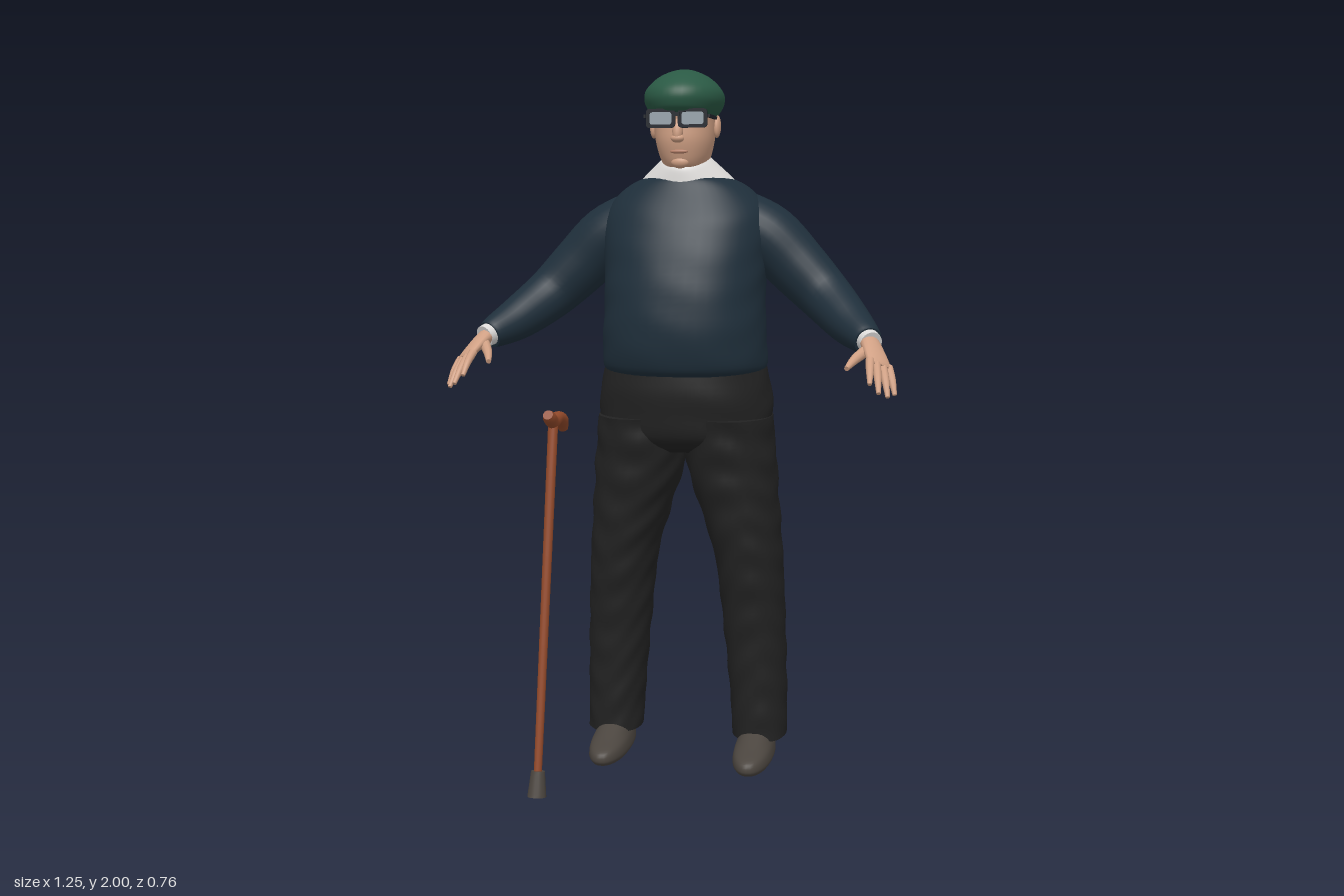
import * as THREE from 'three';

const mat = (name, color) => {
  const m = new THREE.MeshStandardMaterial({ color });
  m.name = name;
  return m;
};

// Smooth interpolation between rows of numbers
function resample(rows, k) {
  const out = [];
  const at = i => rows[Math.min(Math.max(i, 0), rows.length - 1)];
  for (let i = 0; i < rows.length - 1; i++) {
    for (let s = 0; s < k; s++) {
      const t = s / k;
      out.push(at(i).map((b, c) => {
        const a = at(i - 1)[c], d = at(i + 1)[c], e = at(i + 2)[c];
        return b + 0.5 * t * (d - a + t * (2 * a - 5 * b + 4 * d - e + t * (3 * (b - d) + e - a)));
      }));
    }
  }
  out.push(rows[rows.length - 1]);
  return out;
}

// Skin a list of closed rings and close both ends
function skin(rings) {
  const n = rings[0].length, pos = [], idx = [];
  rings.forEach(r => r.forEach(p => pos.push(p.x, p.y, p.z)));
  for (let i = 0; i < rings.length - 1; i++) {
    for (let j = 0; j < n; j++) {
      const a = i * n + j, b = i * n + (j + 1) % n;
      idx.push(a, a + n, b, b, a + n, b + n);
    }
  }
  [rings[0], rings[rings.length - 1]].forEach((r, end) => {
    const base = pos.length / 3, mid = new THREE.Vector3();
    r.forEach(p => { pos.push(p.x, p.y, p.z); mid.addScaledVector(p, 1 / n); });
    pos.push(mid.x, mid.y, mid.z);
    for (let j = 0; j < n; j++) {
      const a = base + j, b = base + (j + 1) % n;
      idx.push(...(end ? [a, base + n, b] : [a, b, base + n]));
    }
  });
  const g = new THREE.BufferGeometry();
  g.setAttribute('position', new THREE.Float32BufferAttribute(pos, 3));
  g.setIndex(idx);
  g.computeVertexNormals();
  return g;
}

// Upright form from rows [y, centreX, halfWidth, zFront, zBack]; fold adds soft cloth ripples
function body(rows, { p = 2.2, n = 36, k = 5, fold = 0 } = {}) {
  const pw = v => Math.sign(v) * Math.abs(v) ** (2 / p);
  return skin(resample(rows, k).map(([y, cx, rx, zf, zb]) =>
    Array.from({ length: n }, (_, j) => {
      const t = j / n * Math.PI * 2;
      const f = 1 + fold * Math.sin(y * 55 + 3 * Math.sin(t * 2 + cx * 9)) * Math.sin(t * 3 + y * 7);
      return new THREE.Vector3(cx + rx * f * pw(Math.cos(t)), y, (zf + zb) / 2 + (zf - zb) / 2 * f * pw(Math.sin(t)));
    })));
}

// Limb along a path from rows [x, y, z, radiusAlongRef, radiusAcross]
function limb(rows, ref, n = 16, k = 5) {
  const r = resample(rows, k), V = q => new THREE.Vector3(q[0], q[1], q[2]);
  return skin(r.map((q, i) => {
    const T = V(r[Math.min(i + 1, r.length - 1)]).sub(V(r[Math.max(i - 1, 0)])).normalize();
    const u = ref.clone().addScaledVector(T, -ref.dot(T)).normalize();
    const v = u.clone().cross(T);
    return Array.from({ length: n }, (_, j) => {
      const t = j / n * Math.PI * 2;
      return V(q).addScaledVector(u, q[3] * Math.cos(t)).addScaledVector(v, q[4] * Math.sin(t));
    });
  }));
}

function roundRect(S, w, h, r) {
  const s = new S();
  s.moveTo(-w + r, -h);
  s.lineTo(w - r, -h); s.quadraticCurveTo(w, -h, w, -h + r);
  s.lineTo(w, h - r); s.quadraticCurveTo(w, h, w - r, h);
  s.lineTo(-w + r, h); s.quadraticCurveTo(-w, h, -w, h - r);
  s.lineTo(-w, -h + r); s.quadraticCurveTo(-w, -h, -w + r, -h);
  return s;
}

export function createModel() {
  const root = new THREE.Group();
  root.name = 'manWithCane';
  const M = {
    skin: mat('skin', 0xd0a084), lips: mat('lips', 0xb57f68), beret: mat('beretGreen', 0x2a5944),
    sweater: mat('sweaterNavy', 0x1f2f3b), trousers: mat('trousersBlack', 0x222222),
    shirt: mat('shirtWhite', 0xdcdad8), shoe: mat('shoeGrey', 0x4b453f),
    wood: mat('caneWood', 0x92492a), frame: mat('frameDark', 0x20242b), lens: mat('lensGrey', 0x98a4ac),
  };
  M.lens.side = THREE.DoubleSide;
  const add = (name, geo, m, x = 0, y = 0, z = 0) => {
    const o = new THREE.Mesh(geo, m);
    o.name = name;
    o.position.set(x, y, z);
    root.add(o);
    return o;
  };
  const X = new THREE.Vector3(1, 0, 0), Z = new THREE.Vector3(0, 0, 1);
  const ball = (sx, sy, sz) => new THREE.SphereGeometry(1, 20, 14).scale(sx, sy, sz);

  // Torso and hips
  add('sweater', body([
    [1.145, 0, 0.222, 0.01, -0.36], [1.17, 0, 0.237, 0.03, -0.368], [1.25, 0, 0.235, 0.047, -0.37],
    [1.35, 0, 0.231, 0.042, -0.37], [1.45, 0, 0.234, 0.02, -0.375], [1.55, 0, 0.242, -0.015, -0.38],
    [1.61, 0, 0.232, -0.045, -0.372], [1.66, 0, 0.19, -0.072, -0.345], [1.69, 0, 0.143, -0.088, -0.318],
    [1.70, 0, 0.1, -0.1, -0.29]], { n: 48, fold: 0.006 }), M.sweater);
  add('trouserSeat', body([
    [0.92, 0, 0.17, -0.07, -0.31], [0.96, 0, 0.235, -0.015, -0.345], [1.03, 0, 0.253, 0.002, -0.368],
    [1.1, 0, 0.248, 0.01, -0.374], [1.18, 0, 0.23, 0.005, -0.36]], { n: 48, fold: 0.006 }), M.trousers);

  // Head, nose and mouth
  add('head', body([
    [1.62, 0, 0.062, -0.115, -0.262], [1.70, 0, 0.062, -0.115, -0.264], [1.715, 0, 0.06, -0.105, -0.263],
    [1.732, 0, 0.061, -0.083, -0.263], [1.76, 0, 0.072, -0.071, -0.262], [1.80, 0, 0.082, -0.062, -0.264],
    [1.85, 0, 0.088, -0.062, -0.268], [1.90, 0, 0.091, -0.055, -0.268], [1.94, 0, 0.08, -0.075, -0.25]]), M.skin);
  add('nose', ball(0.015, 0.034, 0.018), M.skin, 0, 1.825, -0.054).rotation.x = -0.25;
  add('noseTip', ball(0.019, 0.012, 0.016), M.skin, 0, 1.803, -0.05);
  add('mouth', ball(0.026, 0.006, 0.006), M.lips, 0, 1.768, -0.071);
  add('chin', ball(0.026, 0.017, 0.016), M.skin, 0, 1.739, -0.088);

  // Beret, tipped slightly back
  add('beret', body([
    [-0.018, 0, 0.088, 0.118, -0.112], [-0.005, 0, 0.099, 0.132, -0.128], [0.022, 0, 0.112, 0.14, -0.14],
    [0.052, 0, 0.108, 0.128, -0.13], [0.085, 0, 0.078, 0.088, -0.092], [0.106, 0, 0.038, 0.04, -0.045],
    [0.113, 0, 0.005, 0.005, -0.005]], { p: 2 }), M.beret, 0, 1.885, -0.15).rotation.x = -0.09;

  // Shirt collar, lower at the front
  add('collar', body([
    [-0.03, 0, 0.16, 0.12, -0.12], [-0.005, 0, 0.142, 0.11, -0.11], [0.025, 0, 0.112, 0.098, -0.098],
    [0.055, 0, 0.08, 0.086, -0.088], [0.065, 0, 0.068, 0.078, -0.082]], { p: 2 }),
    M.shirt, 0, 1.687, -0.185).rotation.x = 0.3;

  // Glasses bridge
  add('glassesBridge', new THREE.BoxGeometry(0.02, 0.01, 0.008), M.frame, 0, 1.868, -0.036);

  for (const s of [1, -1]) {
    const side = s > 0 ? 'left' : 'right';
    const mir = rows => rows.map(([x, ...r]) => [x * s, ...r]);

    // Glasses and ears
    const rim = roundRect(THREE.Shape, 0.041, 0.026, 0.012);
    rim.holes.push(roundRect(THREE.Path, 0.031, 0.017, 0.008));
    add(side + 'Rim', new THREE.ExtrudeGeometry(rim, { depth: 0.008, bevelEnabled: false }), M.frame, s * 0.045, 1.857, -0.043);
    add(side + 'Lens', new THREE.ShapeGeometry(roundRect(THREE.Shape, 0.032, 0.018, 0.008)), M.lens, s * 0.045, 1.857, -0.038);
    add(side + 'Temple', new THREE.BoxGeometry(0.006, 0.009, 0.135), M.frame, s * 0.09, 1.863, -0.105);
    add(side + 'Ear', ball(0.011, 0.032, 0.02), M.skin, s * 0.091, 1.84, -0.165).rotation.x = -0.15;

    // Sleeve and shirt cuff
    add(side + 'Sleeve', limb(mir([
      [0.15, 1.575, -0.215, 0.095, 0.09], [0.235, 1.53, -0.212, 0.098, 0.092], [0.32, 1.447, -0.2, 0.082, 0.086],
      [0.40, 1.368, -0.177, 0.073, 0.076], [0.475, 1.3, -0.095, 0.062, 0.063], [0.525, 1.264, -0.025, 0.046, 0.047],
      [0.538, 1.254, -0.004, 0.039, 0.039]]), Z, 24), M.sweater);
    add(side + 'Cuff', limb(mir([[0.528, 1.263, -0.02, 0.035, 0.035], [0.548, 1.25, 0.012, 0.033, 0.031]]), Z, 20), M.shirt);

    // Hand with four fingers and a thumb
    const across = new THREE.Vector3(0.05 * s, -0.02, -0.035).normalize();
    add(side + 'Palm', limb(mir([
      [0.538, 1.256, -0.005, 0.027, 0.024], [0.556, 1.234, 0.04, 0.034, 0.018], [0.574, 1.204, 0.085, 0.037, 0.013],
      [0.579, 1.195, 0.097, 0.032, 0.008]]), across), M.skin);
    [[0.558, 1.155, 0.172], [0.582, 1.132, 0.177], [0.604, 1.12, 0.152], [0.62, 1.122, 0.115]].forEach((tip, i) => {
      const f = i / 3, b = [0.552 + 0.047 * f, 1.213 - 0.022 * f, 0.102 - 0.034 * f];
      const m = b.map((v, c) => v * 0.45 + tip[c] * 0.55 + (c === 1 ? 0.007 : 0));
      add(side + 'Finger' + (i + 1), limb(mir([[...b, 0.012, 0.012], [...m, 0.0105, 0.01], [...tip, 0.006, 0.006]]), across, 10, 4), M.skin);
    });
    add(side + 'Thumb', limb(mir([
      [0.545, 1.238, 0.03, 0.017, 0.015], [0.512, 1.213, 0.092, 0.013, 0.012], [0.494, 1.192, 0.14, 0.007, 0.007]]),
      across, 10, 4), M.skin);

    // Trouser leg and shoe
    add(side + 'TrouserLeg', body([
      [0.06, 0.22, 0.08, -0.11, -0.31], [0.2, 0.215, 0.084, -0.105, -0.318], [0.4, 0.203, 0.091, -0.09, -0.315],
      [0.6, 0.187, 0.098, -0.06, -0.33], [0.75, 0.16, 0.114, -0.04, -0.335], [0.9, 0.133, 0.131, -0.02, -0.343],
      [1.02, 0.13, 0.122, -0.002, -0.36]].map(([y, x, ...r]) => [y, x * s, ...r]), { k: 12, fold: 0.025 }), M.trousers);
    add(side + 'Shoe', body([
      [0, 0.215, 0.05, 0.012, -0.292], [0.015, 0.215, 0.058, 0.025, -0.3], [0.04, 0.215, 0.056, 0.014, -0.3],
      [0.062, 0.215, 0.05, -0.05, -0.295], [0.085, 0.215, 0.042, -0.11, -0.28]].map(([y, x, ...r]) => [y, x * s, ...r])), M.shoe);
  }

  // Walking cane
  const cx = -0.307;
  add('caneShaft', limb([[cx, 0.07, 0.344, 0.011, 0.011], [cx, 1.03, 0.152, 0.014, 0.014]], X), M.wood);
  add('caneTip', limb([[cx, 0.03, 0.352, 0.026, 0.026], [cx, 0.098, 0.338, 0.019, 0.019]], X), M.shoe);
  add('caneHandle', limb([
    [cx, 1.056, 0.203, 0.014, 0.014], [cx, 1.045, 0.185, 0.018, 0.02], [cx, 1.03, 0.15, 0.017, 0.02],
    [cx, 1.036, 0.11, 0.019, 0.018], [cx, 1.024, 0.073, 0.021, 0.021], [cx, 0.998, 0.052, 0.014, 0.013]], X), M.wood);
  return root;
}
